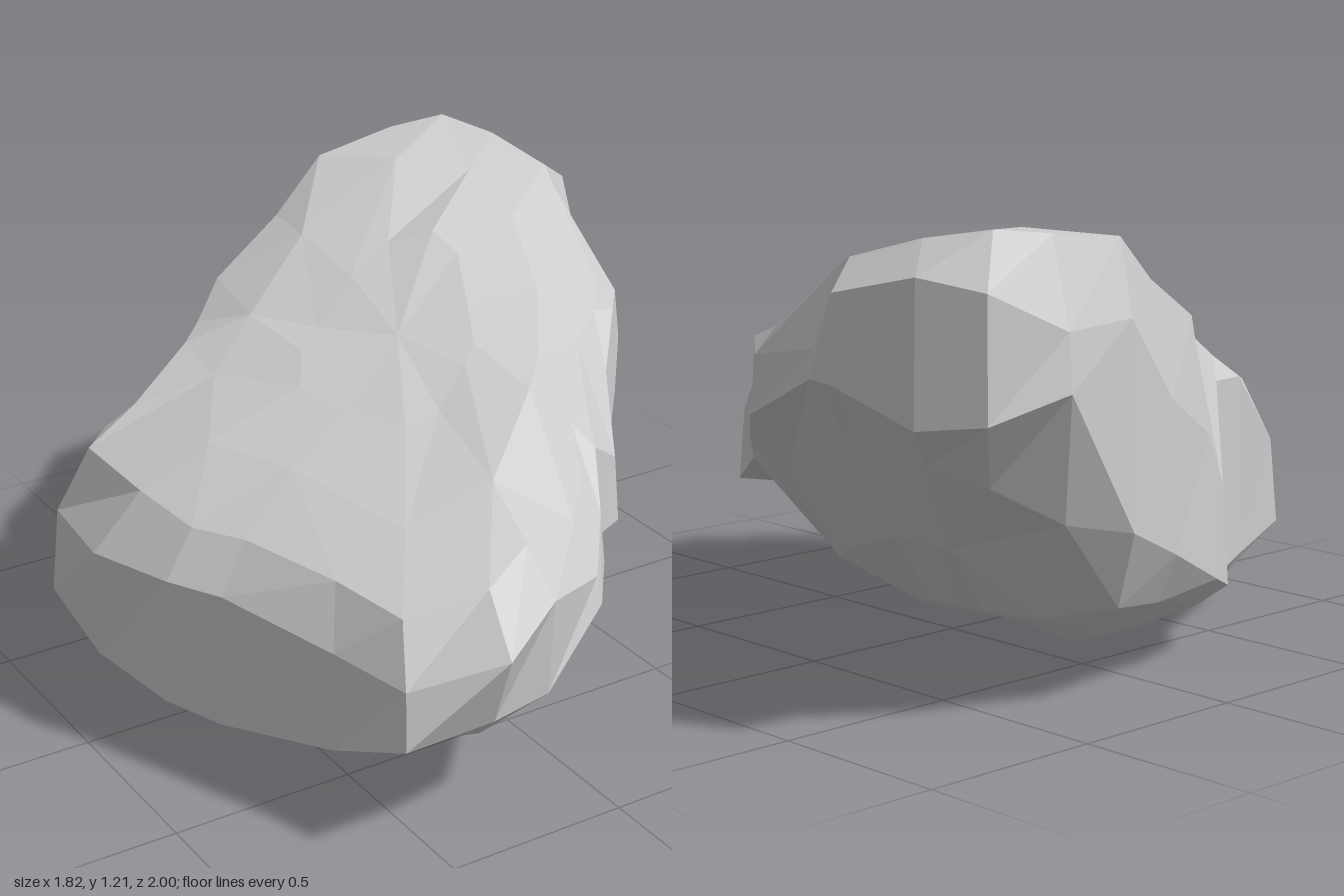
import * as THREE from 'three';

// Belt of the boulder, counter-clockwise from above:
// x, z, lower edge y, upper edge y, then optional insets of the lower and upper edge
const BELT = [
  [-0.91, -0.09, 0.20, 0.50, 1, 1], [-0.86, 0.19, 0.18, 0.52], [-0.78, 0.34, 0.16, 0.52],
  [-0.65, 0.68, 0.22, 0.48], [-0.58, 0.91, 0.31, 0.45, 1, 0.96], [-0.34, 1.00, 0.32, 0.53, 0.92, 1],
  [-0.15, 0.91, 0.33, 0.60, 0.98, 1], [0.09, 0.78, 0.46, 0.53], [0.23, 0.60, 0.46, 0.60],
  [0.31, 0.46, 0.45, 0.71], [0.44, 0.38, 0.43, 0.62], [0.55, 0.18, 0.53, 0.77],
  [0.68, 0.03, 0.62, 0.88], [0.80, -0.12, 0.71, 0.86], [0.90, -0.47, 0.85, 0.92],
  [0.91, -0.55, 0.85, 1.06], [0.85, -0.78, 0.76, 1.11], [0.77, -0.94, 0.78, 1.08],
  [0.56, -1.00, 0.84, 0.98], [0.27, -0.93, 0.46, 0.98], [0.04, -0.86, 0.36, 0.75],
  [-0.22, -0.77, 0.24, 0.62, 1, 0.96], [-0.38, -0.67, 0.18, 0.45], [-0.46, -0.57, 0.18, 0.71],
  [-0.72, -0.43, 0.18, 0.68], [-0.89, -0.41, 0.24, 0.48],
];

// Upper surface: a gentle tilt, trimmed across the crown and along the front flank
const topY = (x, z) => Math.min(
  0.91 + 0.32 * x - 0.23 * z - 0.18 * x * z,
  0.98 - 0.33 * z,
  1.25 - 0.56 * x - 0.82 * z,
  1.24,
);

// Underside: a small resting face with slopes rising from it
const bottomY = (x, z) => Math.max(
  0, 0.02 - 0.5 * (x + 0.55), 0.06 + 0.45 * x, 0.95 * x - 0.07,
  0.01 + 0.34 * (z - 0.16), 0.01 - 0.33 * (z + 0.33), 0.88 * x + 0.66 * z - 0.13,
);

// Rings from the underside up to the crown.
// t: distance from the axis, mix: share of the belt height, coarse: half the corners
const RINGS = [
  { t: 0, mix: 0, under: true, coarse: true },
  { t: 0.34, mix: 0, under: true, coarse: true },
  { t: 0.64, mix: 0, under: true, coarse: true },
  { t: 0.88, mix: 0.25, under: true },
  { t: 1, mix: 1, under: true },
  { t: 1, mix: 1 },
  { t: 0.86, mix: 0.15 },
  { t: 0.62, mix: 0, coarse: true },
  { t: 0.32, mix: 0, coarse: true },
  { t: 0, mix: 0, coarse: true },
];

function seeded(seed) {
  return () => {
    seed = (seed * 16807) % 2147483647;
    return seed / 2147483647 - 0.5;
  };
}

function boulderGeometry() {
  const rand = seeded(41);
  const n = BELT.length;

  const rings = RINGS.map(({ t, mix, under, coarse }) => {
    const cx = under ? -0.2 : 0;
    const cz = under ? -0.06 : -0.05;
    const wobble = mix < 1 && t > 0 ? 0.04 : 0;
    const points = BELT.map(([bx, bz, low, high, lowInset = 1, highInset = 0.975]) => {
      const reach = mix < 1 ? t : under ? lowInset : highInset;
      const x = cx + (bx - cx) * reach + rand() * wobble;
      const z = cz + (bz - cz) * reach + rand() * wobble;
      const surface = under ? Math.min(bottomY(x, z), low) : topY(x, z);
      const y = THREE.MathUtils.lerp(surface, under ? low : high, mix);
      return new THREE.Vector3(x, Math.max(0, y + rand() * wobble * 0.5), z);
    });
    // Coarse rings repeat every other corner; a pole is a single corner
    return points.map((p, i) => (t === 0 ? points[0] : coarse ? points[i - (i % 2)] : p));
  });

  const positions = [];
  const triangle = (a, b, c) => {
    if (a === b || b === c || a === c) return;
    for (const p of [a, b, c]) positions.push(p.x, p.y, p.z);
  };
  for (let r = 0; r < rings.length - 1; r++) {
    const lower = rings[r];
    const upper = rings[r + 1];
    for (let i = 0; i < n; i++) {
      const j = (i + 1) % n;
      triangle(lower[i], lower[j], upper[j]);
      triangle(lower[i], upper[j], upper[i]);
    }
  }

  const geometry = new THREE.BufferGeometry();
  geometry.setAttribute('position', new THREE.Float32BufferAttribute(positions, 3));
  geometry.computeVertexNormals();
  return geometry;
}

export function createModel() {
  const group = new THREE.Group();
  group.name = 'rock';
  const material = new THREE.MeshStandardMaterial({ color: 0xcccccc, flatShading: true });
  const boulder = new THREE.Mesh(boulderGeometry(), material);
  boulder.name = 'boulder';
  group.add(boulder);
  return group;
}
